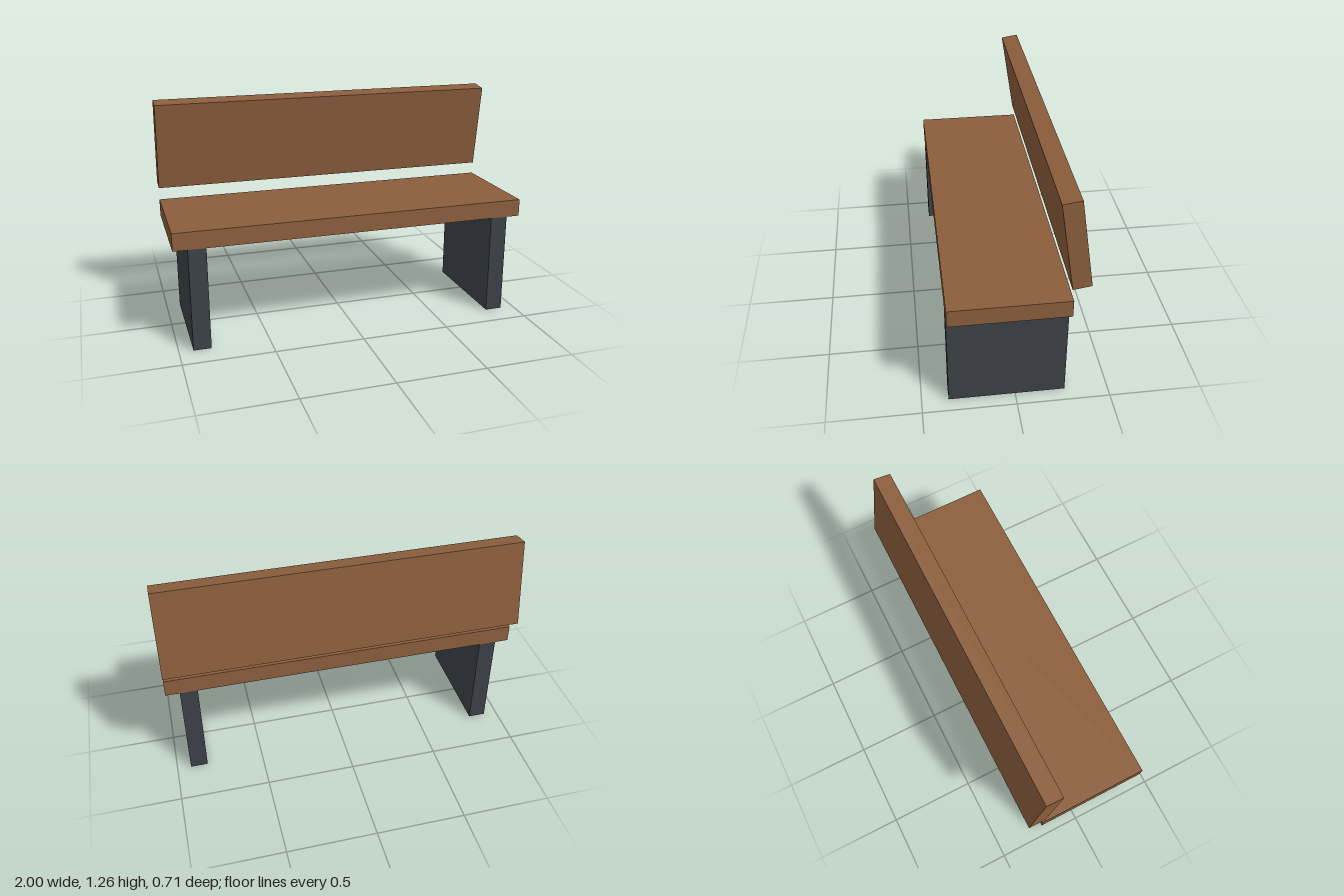
import * as THREE from 'three';

export function createModel() {
  const bench = new THREE.Group();
  bench.name = 'bench';

  const wood = new THREE.MeshStandardMaterial({ color: 0x8b5e3c });
  wood.name = 'brown wood';
  const metal = new THREE.MeshStandardMaterial({ color: 0x3c4148 });
  metal.name = 'dark grey metal';

  const addBox = (name, size, position, material) => {
    const mesh = new THREE.Mesh(new THREE.BoxGeometry(...size), material);
    mesh.name = name;
    mesh.position.set(...position);
    bench.add(mesh);
    return mesh;
  };

  const depth = 0.625, seatZ = 0.044, legHeight = 0.578;

  // Seat plank
  addBox('seat', [2, 0.098, depth], [0, legHeight + 0.049, seatZ], wood);

  // Backrest plank, floating above the rear edge with its top tipped forward
  const backrest = addBox('backrest', [2, 0.5, 0.098], [0, 1.002, -0.268], wood);
  backrest.rotation.x = 0.15;

  // Slab legs, mirrored
  for (const [name, side] of [['leftLeg', 1], ['rightLeg', -1]]) {
    addBox(name, [0.098, legHeight, depth], [side * 0.873, legHeight / 2, seatZ], metal);
  }

  return bench;
}
